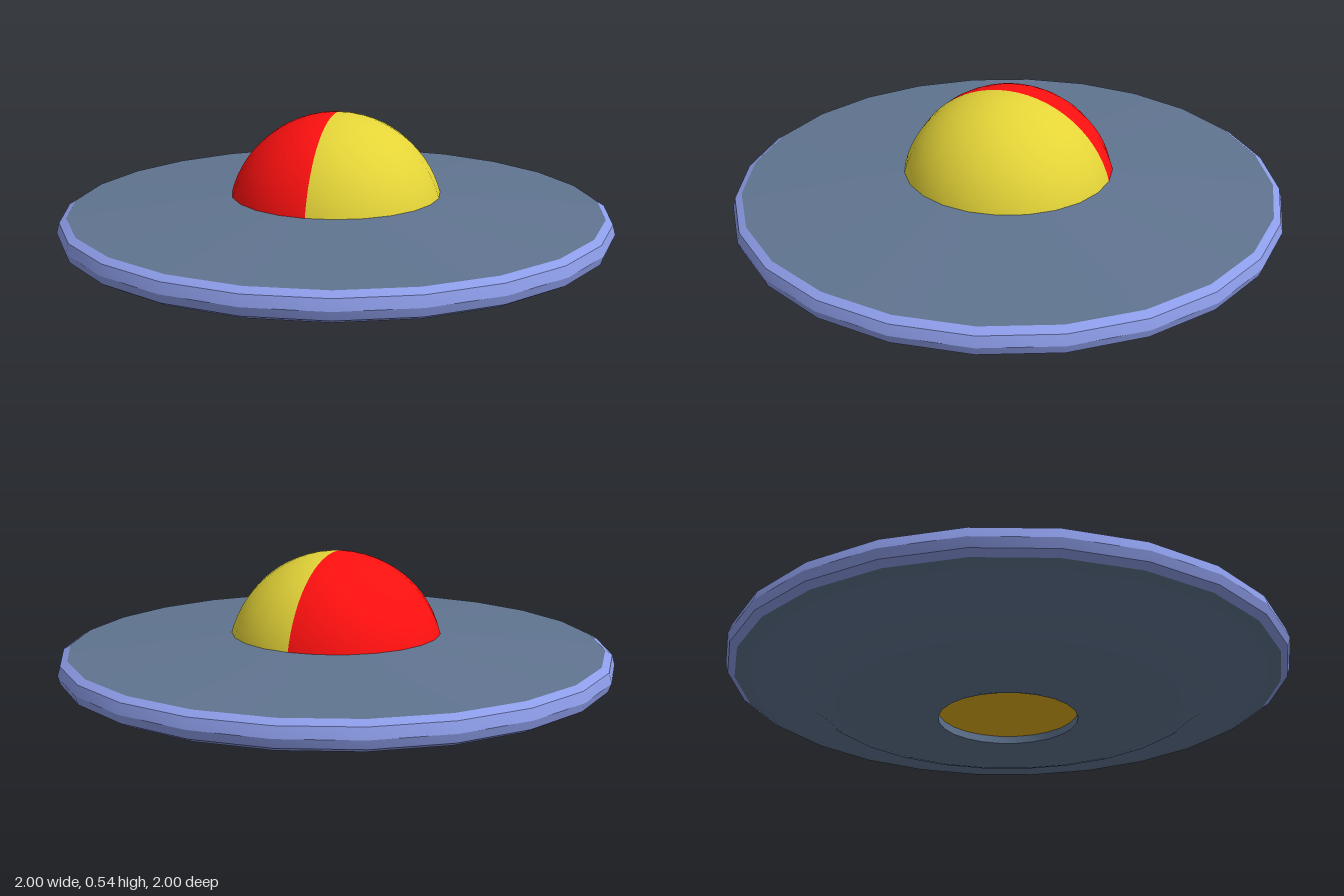
import * as THREE from 'three';
import { toCreasedNormals } from 'three/addons/utils/BufferGeometryUtils.js';

const SIDES = 24;
const mat = (color) => new THREE.MeshStandardMaterial({ color, side: THREE.DoubleSide });

export function createModel() {
  const model = new THREE.Group();
  model.name = 'flyingSaucer';

  const add = (name, geometry, material) => {
    const mesh = new THREE.Mesh(geometry, material);
    mesh.name = name;
    model.add(mesh);
    return mesh;
  };
  // Turned part from [radius, height] pairs, listed from the underside up
  const turned = (name, profile, material, crease) => {
    const points = profile.map(([r, y]) => new THREE.Vector2(r, y));
    return add(name, toCreasedNormals(new THREE.LatheGeometry(points, SIDES), crease), material);
  };

  const hull = mat(0x607490);

  // Underside with a shallow round recess in the middle
  turned('lowerHull', [
    [0.25, 0.035], [0.25, 0.005], [0.27, 0], [0.4, 0.003], [0.52, 0.012],
    [0.62, 0.028], [0.68, 0.045], [0.72, 0.07], [0.965, 0.11],
  ], hull, 0.5);

  // Rounded band around the edge
  turned('rim', [
    [0.965, 0.11], [0.99, 0.125], [1, 0.155], [0.99, 0.19], [0.965, 0.205],
  ], mat(0x8c9ce8), 0.4);

  // Gently sloping deck
  turned('upperHull', [[0.965, 0.205], [0.375, 0.242]], hull, 0.5);

  // Lamp set into the recess
  const lamp = add('bottomLamp', new THREE.CircleGeometry(0.25, SIDES), mat(0xe3b01a));
  lamp.rotation.x = Math.PI / 2;
  lamp.position.y = 0.033;

  // Two-coloured dome, split along the middle
  [['domeRight', -Math.PI / 2, 0xff1010], ['domeLeft', Math.PI / 2, 0xe4d438]].forEach(([name, start, color]) => {
    const half = new THREE.SphereGeometry(0.398, SIDES / 2, 14, start, Math.PI, 0, 1.32);
    add(name, half, mat(color)).position.y = 0.137;
  });

  return model;
}
